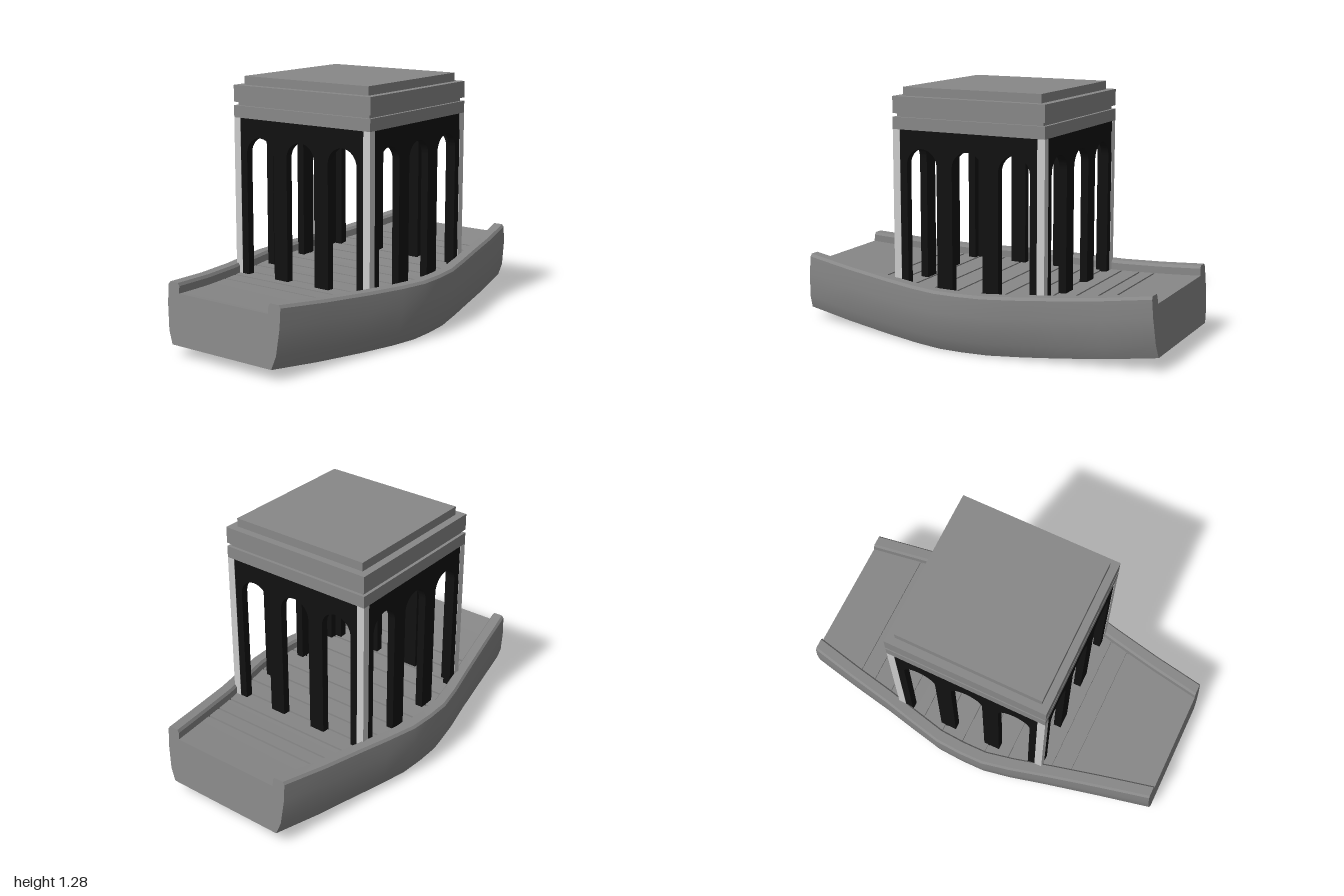
import * as THREE from 'three';
import { toCreasedNormals } from 'three/addons/utils/BufferGeometryUtils.js';

const stone = new THREE.MeshStandardMaterial({ color: 0x888888 });
const pale = new THREE.MeshStandardMaterial({ color: 0xcccccc });
const black = new THREE.MeshStandardMaterial({ color: 0x111111 });

// Hull lines: half-width by station, keel height and rim height
const STATIONS = [[-1, 0.345], [-0.72, 0.402], [-0.45, 0.463], [-0.25, 0.513], [-0.1, 0.543], [0.03, 0.545],
  [0.17, 0.538], [0.35, 0.5], [0.52, 0.463], [0.75, 0.422], [1, 0.373]];
const keel = (x) => 0.0003 + 0.065 * x * x + 0.0075 * x;
const rim = (x) => 0.311 + 0.057 * x * x + 0.0075 * x;
function halfWidth(x) {
  let i = 0;
  while (i < STATIONS.length - 2 && x > STATIONS[i + 1][0]) i++;
  const [x0, w0] = STATIONS[i], [x1, w1] = STATIONS[i + 1];
  return w0 + (w1 - w0) * (x - x0) / (x1 - x0);
}

// Closed loft along x; half(x) lists [z, y] up the +z side and is mirrored to -z
function loft(xs, half) {
  const pos = [], idx = [];
  const sections = xs.map((x) => {
    const h = half(x);
    return [...h, ...h.map(([z, y]) => [-z, y]).reverse()];
  });
  const n = sections[0].length;
  sections.forEach((s, i) => s.forEach(([z, y]) => {
    const x = xs[i], t = (y - keel(x)) / (rim(x) - keel(x));
    pos.push(x * (1 - 0.025 * t), y, z); // ends lean inward towards the top
  }));
  for (let i = 0; i < xs.length - 1; i++) {
    for (let j = 0; j < n; j++) {
      const k = (j + 1) % n, a = i * n, b = a + n;
      idx.push(a + j, b + j, b + k, a + j, b + k, a + k);
    }
  }
  [0, xs.length - 1].forEach((i) => {
    const contour = sections[i].map(([z, y]) => new THREE.Vector2(z, y));
    THREE.ShapeUtils.triangulateShape(contour, []).forEach(([a, b, c]) => {
      const o = i * n;
      if (i === 0) idx.push(o + a, o + b, o + c);
      else idx.push(o + a, o + c, o + b);
    });
  });
  const g = new THREE.BufferGeometry();
  g.setAttribute('position', new THREE.Float32BufferAttribute(pos, 3));
  g.setIndex(idx);
  return toCreasedNormals(g, 0.5);
}

function add(parent, name, geometry, material, x = 0, y = 0, z = 0) {
  const m = new THREE.Mesh(geometry, material);
  m.name = name;
  m.position.set(x, y, z);
  parent.add(m);
  return m;
}

// Wall with three arched openings, centred on x, from y = base up to y = top
function arcadeGeometry(width, pitch, radius, base, spring, top, depth) {
  const s = new THREE.Shape();
  s.moveTo(-width / 2, base);
  for (const c of [-pitch, 0, pitch]) {
    s.lineTo(c - radius, base);
    s.lineTo(c - radius, spring);
    s.absarc(c, spring, radius, Math.PI, 0, true);
    s.lineTo(c + radius, base);
  }
  s.lineTo(width / 2, base);
  s.lineTo(width / 2, top);
  s.lineTo(-width / 2, top);
  s.closePath();
  const g = new THREE.ExtrudeGeometry(s, { depth, bevelEnabled: false, curveSegments: 20 });
  g.translate(0, 0, -depth / 2);
  return toCreasedNormals(g, 0.5);
}

export function createModel() {
  const model = new THREE.Group();
  model.name = 'pavilionBoat';

  // Hull with raised side rims and a sunken deck bed
  add(model, 'hull', loft(STATIONS.map((s) => s[0]), (x) => {
    const w = halfWidth(x), k = keel(x), r = rim(x), h = r - k;
    return [[w * 0.89, k], [w * 0.96, k + h * 0.22], [w, k + h * 0.65], [w, r - 0.014], [w - 0.01, r],
      [w - 0.06, r], [w - 0.07, r - 0.014], [w - 0.07, r - 0.062]];
  }), stone);

  // Deck planks separated by narrow grooves
  const deck = new THREE.Group();
  deck.name = 'deck';
  model.add(deck);
  const seams = [-1, -0.56, -0.455, -0.35, -0.22, -0.09, 0.045, 0.17, 0.295, 0.41, 0.525, 0.635, 0.725, 1];
  for (let i = 0; i < seams.length - 1; i++) {
    const a = seams[i] + (i > 0 ? 0.006 : 0);
    const b = seams[i + 1] - (i < seams.length - 2 ? 0.006 : 0);
    const xs = [0, 0.25, 0.5, 0.75, 1].map((t) => a + (b - a) * t);
    add(deck, 'deckPlank', loft(xs, (x) => {
      const w = halfWidth(x) - 0.068, r = rim(x);
      return [[w, r - 0.08], [w, r - 0.05]];
    }), stone);
  }

  // Pavilion
  const pavilion = new THREE.Group();
  pavilion.name = 'pavilion';
  pavilion.position.set(0.025, 0, -0.003);
  model.add(pavilion);
  const hx = 0.42, hz = 0.422, post = 0.04, base = 0.25, eaves = 1.076;

  // Corner posts
  for (const sx of [-1, 1]) {
    for (const sz of [-1, 1]) {
      add(pavilion, 'cornerPost', new THREE.BoxGeometry(post, eaves - base, post), pale,
        sx * (hx - post / 2), (eaves + base) / 2, sz * (hz - post / 2));
    }
  }

  // Arcaded walls on all four sides
  const longWall = arcadeGeometry(2 * (hx - post), 0.256, 0.085, base, 0.9, eaves, post);
  const sideWall = arcadeGeometry(2 * (hz - post), 0.256, 0.086, base, 0.896, eaves, post);
  for (const s of [-1, 1]) {
    add(pavilion, s > 0 ? 'frontArcade' : 'backArcade', longWall, black, 0, 0, s * (hz - post / 2 - 0.002));
    add(pavilion, s > 0 ? 'leftArcade' : 'rightArcade', sideWall, black, s * (hx - post / 2 - 0.002), 0, 0)
      .rotation.y = Math.PI / 2;
  }

  // Stepped roof: name, bottom, top, inset
  for (const [name, y0, y1, inset] of [['eavesSlab', eaves, 1.137, 0], ['roofNeck', 1.137, 1.155, 0.016],
    ['corniceSlab', 1.155, 1.24, 0], ['roofCap', 1.24, 1.284, 0.039]]) {
    add(pavilion, name, new THREE.BoxGeometry(2 * (hx - inset), y1 - y0, 2 * (hz - inset)), stone, 0, (y0 + y1) / 2, 0);
  }
  return model;
}
